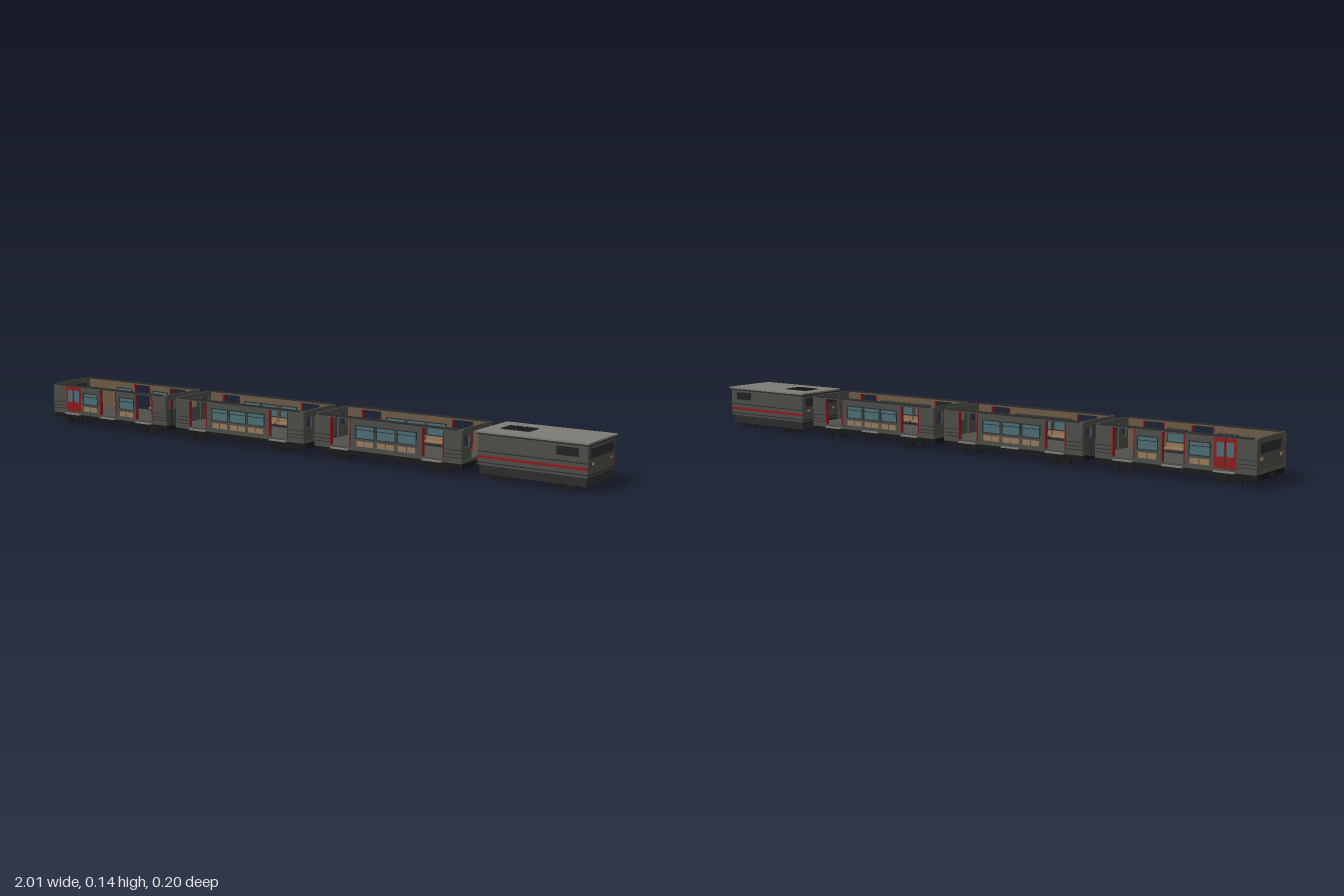
import * as THREE from 'three';

const mat = (name, color) => Object.assign(new THREE.MeshStandardMaterial({ color }), { name });
const M = {
  body: mat('body grey', 0x4b4c46), dark: mat('charcoal', 0x2b2b2b), black: mat('black', 0x171717),
  red: mat('red', 0x8a1a1c), tan: mat('seat tan', 0x94785a), glass: mat('window teal', 0x4a6c74),
  lining: mat('lining brown', 0x6b5843), floor: mat('floor grey', 0x50504b), roof: mat('roof grey', 0x7d7b76),
  lamp: mat('lamp amber', 0xa9875c),
};

function add(parent, name, geometry, material, x = 0, y = 0, z = 0) {
  const m = new THREE.Mesh(geometry, material);
  m.name = name;
  m.position.set(x, y, z);
  parent.add(m);
  return m;
}
// Box given by its limits on each axis
function box(parent, name, material, x0, x1, y0, y1, z0, z1) {
  return add(parent, name, new THREE.BoxGeometry(x1 - x0, y1 - y0, z1 - z0), material,
    (x0 + x1) / 2, (y0 + y1) / 2, (z0 + z1) / 2);
}
function rectPath(x0, x1, y0, y1) {
  return new THREE.Path([[x0, y0], [x0, y1], [x1, y1], [x1, y0]].map(p => new THREE.Vector2(...p)));
}
// Flat panel with rounded upper corners and rectangular holes
function panel(w, y0, y1, holes, depth) {
  const s = new THREE.Shape(), r = 0.012;
  s.moveTo(-w, y0);
  s.lineTo(w, y0);
  s.lineTo(w, y1 - r);
  s.quadraticCurveTo(w, y1, w - r, y1);
  s.lineTo(-w + r, y1);
  s.quadraticCurveTo(-w, y1, -w, y1 - r);
  s.closePath();
  for (const h of holes) s.holes.push(rectPath(...h));
  return new THREE.ExtrudeGeometry(s, { depth, bevelEnabled: false, curveSegments: 4 });
}

function wheels(parent, xs) {
  const g = new THREE.CylinderGeometry(0.014, 0.014, 0.008, 16).rotateX(Math.PI / 2);
  const axle = new THREE.CylinderGeometry(0.003, 0.003, 0.15, 8).rotateX(Math.PI / 2);
  for (const x of xs) {
    for (const s of [-1, 1]) add(parent, 'wheel', g, M.black, x, 0.014, s * 0.075);
    add(parent, 'axle', axle, M.black, x, 0.016, 0);
  }
}

const L = 0.254; // half length of a carriage
const DOOR = 0.034; // half width of a doorway

// Side wall built facing +z; mirrored by turning for the far side
function sideWall(doors, windows, redDoor) {
  const g = new THREE.Group();
  g.name = 'sideWall';
  const glassBox = windows.map(x => [x - 0.032, x + 0.032, 0.075, 0.112]);
  const holes = [...doors.map(x => [x - DOOR, x + DOOR, 0.045, 0.129]), ...glassBox];
  add(g, 'outerWall', panel(L, 0.036, 0.136, holes, 0.006), M.body, 0, 0, 0.084);
  add(g, 'innerLining', panel(L - 0.004, 0.045, 0.133, holes, 0.002), M.lining, 0, 0, 0.0815);
  box(g, 'topRail', M.dark, -L + 0.012, L - 0.012, 0.132, 0.137, 0.082, 0.0915);
  for (const [x0, x1, y0, y1] of glassBox) {
    box(g, 'windowGlass', M.glass, x0, x1, y0, y1, 0.085, 0.087);
    const frame = new THREE.Shape(rectPath(x0 - 0.002, x1 + 0.002, y0 - 0.002, y1 + 0.002).getPoints());
    frame.holes.push(rectPath(x0 + 0.001, x1 - 0.001, y0 + 0.001, y1 - 0.001));
    add(g, 'windowFrame', new THREE.ExtrudeGeometry(frame, { depth: 0.0115, bevelEnabled: false }), M.dark, 0, 0, 0.08);
    box(g, 'windowBar', M.dark, x0, x1, 0.099, 0.101, 0.084, 0.088);
    // Pair of tan panels under each window
    for (const s of [-1, 1]) {
      const c = (x0 + x1) / 2 + s * 0.0155;
      box(g, 'lowerPanel', M.tan, c - 0.014, c + 0.014, 0.05, 0.066, 0.089, 0.091);
    }
    // Bench with back along the inside
    box(g, 'benchSeat', M.tan, x0, x1, 0.055, 0.06, 0.058, 0.081);
    box(g, 'benchBack', M.tan, x0, x1, 0.06, 0.072, 0.077, 0.081);
    box(g, 'benchBase', M.dark, x0, x1, 0.045, 0.055, 0.064, 0.081);
  }
  // Doorways with jambs and steps
  for (const x of doors) {
    for (const s of [-1, 1]) {
      const c = x + s * (DOOR + 0.001);
      box(g, 'doorJamb', M.red, c - 0.0015, c + 0.0015, 0.045, 0.13, 0.081, 0.0925);
    }
    box(g, 'doorStep', M.roof, x - 0.032, x + 0.032, 0.035, 0.039, 0.084, 0.099);
  }
  // Closed door with a glazed upper half
  if (redDoor !== null) {
    const x = redDoor;
    box(g, 'closedDoor', M.red, x - DOOR, x + DOOR, 0.045, 0.13, 0.083, 0.0905);
    for (const s of [-1, 1]) for (const z of [0.0825, 0.091])
      box(g, 'doorGlass', M.glass, x + s * 0.015 - 0.011, x + s * 0.015 + 0.011, 0.078, 0.118, z - 0.0006, z + 0.0006);
    box(g, 'doorSeam', M.dark, x - 0.001, x + 0.001, 0.045, 0.13, 0.0825, 0.0913);
  }
  // Trim strips on the solid ends
  for (const s of [-1, 1]) for (const y of [0.052, 0.062, 0.074])
    box(g, 'trimStrip', M.dark, s * 0.226 - 0.026, s * 0.226 + 0.026, y, y + 0.002, 0.089, 0.0913);
  return g;
}

function carriage(cx, doors, windows, redDoor, closedLeft) {
  const g = new THREE.Group();
  g.name = 'carriage';
  g.position.x = cx;
  box(g, 'floor', M.floor, -L, L, 0.036, 0.045, -0.085, 0.085);
  box(g, 'underframe', M.black, -L, L, 0.019, 0.036, -0.082, 0.082);
  for (const x of [-0.17, 0.17]) box(g, 'bogie', M.black, x - 0.045, x + 0.045, 0.012, 0.022, -0.07, 0.07);
  wheels(g, [-0.193, -0.147, 0.147, 0.193]);
  const near = sideWall(doors, windows, redDoor);
  g.add(near);
  // Far side uses the mirrored layout and is turned around
  const far = sideWall(doors.map(x => -x), windows.map(x => -x), redDoor === null ? null : -redDoor);
  far.rotation.y = Math.PI;
  g.add(far);
  // End walls with a gangway opening, or a closed cab end
  for (const s of [-1, 1]) {
    const closed = closedLeft && s < 0;
    const holes = closed ? [[-0.065, 0.065, 0.09, 0.12]] : [[-0.03, 0.03, 0.045, 0.122],
      [-0.072, -0.042, 0.08, 0.115], [0.042, 0.072, 0.08, 0.115]];
    const end = add(g, 'endWall', panel(0.086, 0.036, 0.136, holes, 0.006), M.body, s * (L - 0.006), 0, 0);
    end.rotation.y = s * Math.PI / 2;
    end.position.x = s * (L - 0.007);
    if (closed) {
      box(g, 'cabWindow', M.dark, -L + 0.002, -L + 0.005, 0.09, 0.12, -0.065, 0.065);
      for (const z of [-0.06, 0.06]) box(g, 'headlamp', M.lamp, -L - 0.001, -L + 0.002, 0.073, 0.082, z - 0.007, z + 0.007);
    }
    box(g, 'coupler', M.black, s * L - 0.012, s * L + 0.012, 0.024, 0.032, -0.01, 0.01);
  }
  return g;
}

function engine() {
  const g = new THREE.Group();
  g.name = 'engineCar';
  const a = 0.66, b = 0.995;
  box(g, 'engineBody', M.body, a, b, 0.042, 0.132, -0.088, 0.088);
  box(g, 'engineBase', M.dark, a + 0.004, b - 0.004, 0.016, 0.042, -0.083, 0.083);
  box(g, 'engineRoof', M.roof, a - 0.005, b + 0.005, 0.134, 0.139, -0.094, 0.094);
  box(g, 'roofGutter', M.dark, a - 0.003, b + 0.003, 0.129, 0.134, -0.091, 0.091);
  wheels(g, [0.7, 0.745, 0.9, 0.945]);
  // Slatted vent on the roof
  box(g, 'roofVent', M.dark, 0.7, 0.79, 0.139, 0.1405, -0.032, 0.03);
  for (let i = 0; i < 9; i++) box(g, 'ventSlat', M.black, 0.702 + i * 0.01, 0.706 + i * 0.01, 0.14, 0.142, -0.031, 0.029);
  for (const s of [-1, 1]) {
    const side = (name, m, x0, x1, y0, y1, z = 0.0895) =>
      box(g, name, m, x0, x1, y0, y1, Math.min(s * 0.087, s * z), Math.max(s * 0.087, s * z));
    side('redStripe', M.red, a, b, 0.062, 0.07);
    side('darkStripe', M.dark, a, b, 0.08, 0.083);
    side('lowerTrim', M.dark, a, b, 0.048, 0.051);
    // Louvred grille
    const x = 0.935;
    side('sideGrille', M.dark, x - 0.033, x + 0.033, 0.097, 0.122);
    for (let i = 0; i < 4; i++) side('grilleSlat', M.black, x - 0.031, x + 0.031, 0.1 + i * 0.006, 0.103 + i * 0.006, 0.091);
    // End details
    const e = s > 0 ? b : a;
    box(g, 'endWindow', M.dark, e - 0.002, e + 0.002, 0.093, 0.12, -0.074, 0.074);
    for (const z of [-0.06, 0.06]) {
      box(g, 'headlampRim', M.dark, e - 0.002, e + 0.002, 0.072, 0.084, z - 0.008, z + 0.008);
      box(g, 'headlamp', M.lamp, e - 0.003, e + 0.003, 0.074, 0.082, z - 0.006, z + 0.006);
    }
    box(g, 'endTrim', M.dark, e - 0.002, e + 0.002, 0.047, 0.05, -0.088, 0.088);
  }
  return g;
}

export function createModel() {
  const train = new THREE.Group();
  train.name = 'train';
  const sideDoors = [-0.16, 0.16], middleWindows = [-0.072, 0, 0.072];
  train.add(carriage(-0.745, [0, 0.16], [-0.082, 0.082], -0.16, true));
  train.add(carriage(-0.194, sideDoors, middleWindows, null, false));
  train.add(carriage(0.356, sideDoors, middleWindows, null, false));
  train.add(engine());
  // Steps on the far side at the middle of the later carriages, and by the closed doors
  for (const x of [-0.194, 0.356]) box(train, 'doorStep', M.roof, x - 0.032, x + 0.032, 0.035, 0.039, -0.099, -0.084);
  for (const s of [-1, 1]) box(train, 'doorStep', M.roof, -0.937, -0.873, 0.035, 0.039, s * 0.0915 - 0.0075, s * 0.0915 + 0.0075);
  // Gangway bellows between the first two carriages
  for (let i = 0; i < 4; i++) {
    const x = -0.49 + i * 0.0112, w = i % 2 ? 0.068 : 0.075;
    box(train, 'bellowsFloor', M.dark, x, x + 0.0112, 0.036, 0.045, -w, w);
    for (const s of [-1, 1]) box(train, 'bellowsSide', M.dark, x, x + 0.0112, 0.04, 0.09, s * w - 0.003, s * w + 0.003);
  }
  return train;
}
